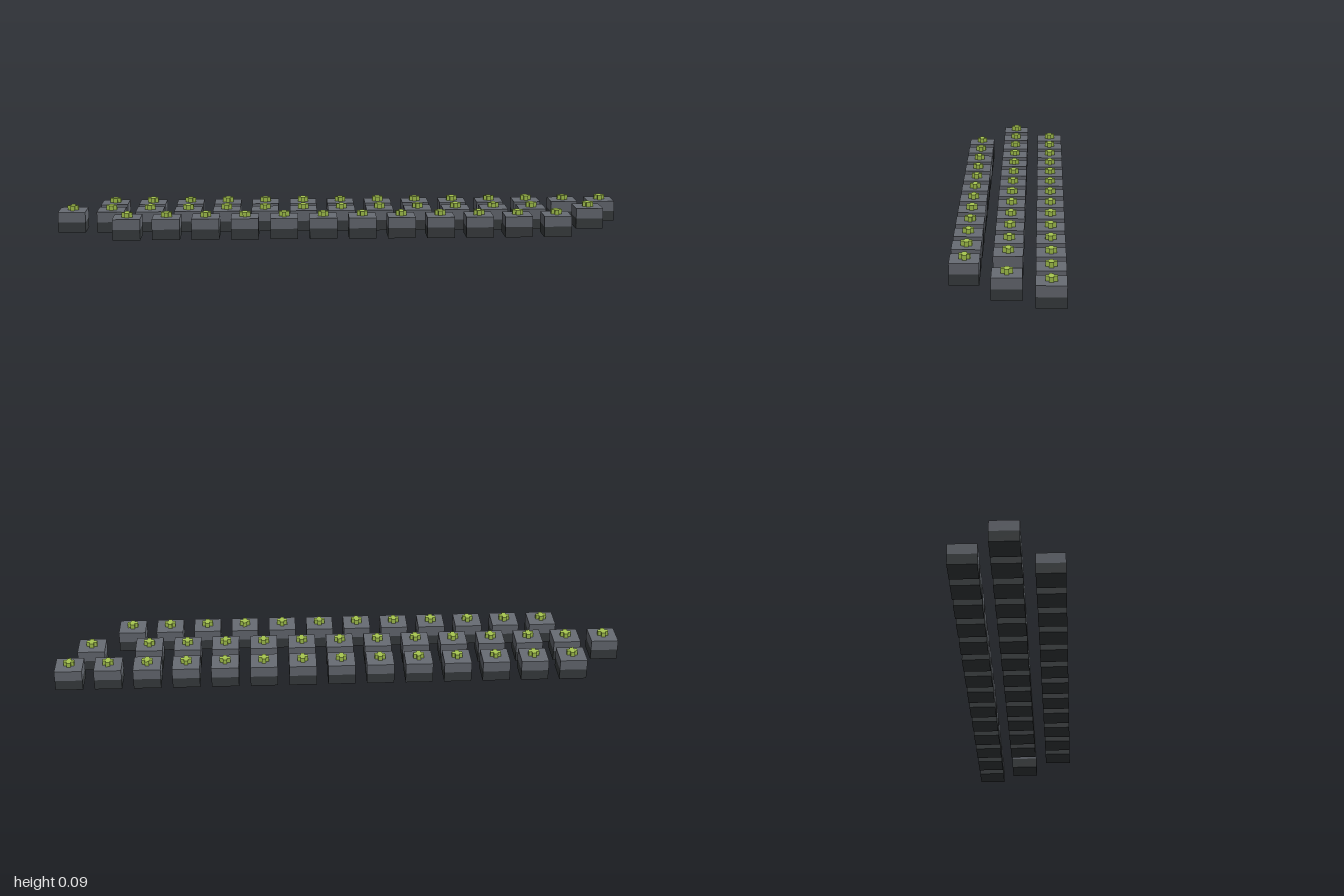
import * as THREE from 'three';

const PITCH = 0.14;              // distance between neighbouring blocks
const SIDE = 0.0985;             // block width
const ANGLE = THREE.MathUtils.degToRad(22);

// Each row: line number and the positions of its blocks along the line
const range = (start, count) => Array.from({ length: count }, (_, i) => start + i);
const ROWS = [
  { line: 0, slots: range(0, 14) },
  { line: 1, slots: [...range(-1, 13), 12.5] },
  { line: 2, slots: range(0.5, 12) },
];

// Cross-shaped outline for the raised stud
function plusShape(length, thickness) {
  const a = length / 2, b = thickness / 2;
  const points = [
    [b, b], [b, a], [-b, a], [-b, b], [-a, b], [-a, -b],
    [-b, -b], [-b, -a], [b, -a], [b, -b], [a, -b], [a, b],
  ];
  return new THREE.Shape(points.map(([x, y]) => new THREE.Vector2(x, y)));
}

export function createModel() {
  const model = new THREE.Group();
  model.name = 'blockArray';

  const baseMaterial = new THREE.MeshStandardMaterial({ color: 0x3a3e40 });
  baseMaterial.name = 'dark charcoal';
  const topMaterial = new THREE.MeshStandardMaterial({ color: 0x686c74 });
  topMaterial.name = 'slate grey';
  const studMaterial = new THREE.MeshStandardMaterial({ color: 0xa8c850 });
  studMaterial.name = 'lime green';

  const baseGeometry = new THREE.BoxGeometry(SIDE, 0.0375, SIDE).translate(0, 0.01875, 0);
  const topGeometry = new THREE.BoxGeometry(SIDE, 0.0375, SIDE).translate(0, 0.05625, 0);
  const studGeometry = new THREE.ExtrudeGeometry(plusShape(0.038, 0.015), {
    depth: 0.017, bevelEnabled: false,
  }).rotateX(-Math.PI / 2).translate(0, 0.075, 0);

  const parts = [
    ['lowerHousing', baseGeometry, baseMaterial],
    ['upperHousing', topGeometry, topMaterial],
    ['crossStem', studGeometry, studMaterial],
  ];

  // Blocks sit on a slanted grid: u runs along a row, v runs towards the front
  const cos = Math.cos(ANGLE) * PITCH, sin = Math.sin(ANGLE) * PITCH;
  for (const { line, slots } of ROWS) {
    const row = new THREE.Group();
    row.name = `row${line + 1}`;
    for (const slot of slots) {
      const block = new THREE.Group();
      block.name = 'switchBlock';
      block.position.set(-0.754 + slot * cos - line * sin, 0, -0.433 + slot * sin + line * cos);
      block.rotation.y = -ANGLE;
      for (const [name, geometry, material] of parts) {
        const mesh = new THREE.Mesh(geometry, material);
        mesh.name = name;
        block.add(mesh);
      }
      row.add(block);
    }
    model.add(row);
  }
  return model;
}
